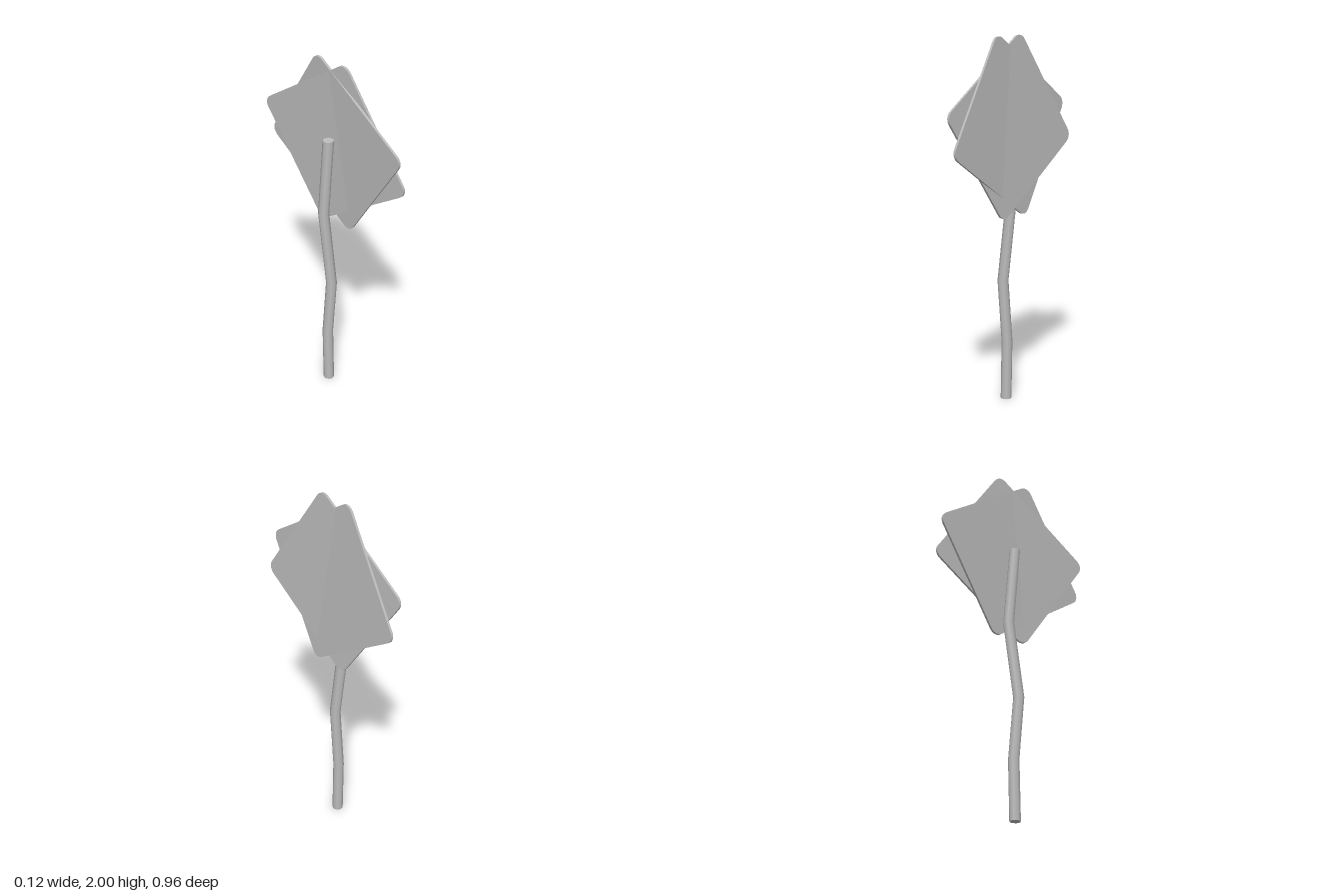
import * as THREE from 'three';

const grey = new THREE.MeshStandardMaterial({ color: 0xbcbcbc });
grey.name = 'weathered grey';

// Bent pole: rings of an eight-sided cylinder shifted along a crooked line
function makePole() {
  const ringY = [0, 0.33, 0.68, 1.1, 1.56];
  const ringZ = [0, -0.008, 0.024, -0.04, 0];
  const geo = new THREE.CylinderGeometry(0.03, 0.03, 4, 8, 4);
  const pos = geo.attributes.position;
  for (let i = 0; i < pos.count; i++) {
    const ring = Math.round(pos.getY(i) + 2);
    pos.setY(i, ringY[ring]);
    pos.setZ(i, pos.getZ(i) + ringZ[ring]);
  }
  const pole = new THREE.Mesh(geo, grey);
  pole.name = 'bentPole';
  pole.position.x = -0.035;
  return pole;
}

// Thin square plate with rounded corners, facing +x before it is tilted
function makePlate(name, turn, x, slopeY, slopeZ) {
  const half = 0.36, r = 0.05, c = half - r, depth = 0.013;
  const shape = new THREE.Shape();
  for (let k = 0; k < 4; k++) {
    const a = k * Math.PI / 2;
    const sx = k === 0 || k === 3 ? c : -c;
    const sy = k < 2 ? c : -c;
    shape.absarc(sx, sy, r, a, a + Math.PI / 2, false);
  }
  const geo = new THREE.ExtrudeGeometry(shape, { depth, bevelEnabled: false, curveSegments: 6 });
  geo.translate(0, 0, -depth / 2);
  geo.rotateZ(turn);
  geo.rotateY(Math.PI / 2);
  const plate = new THREE.Mesh(geo, grey);
  plate.name = name;
  const normal = new THREE.Vector3(1, -slopeY, -slopeZ).normalize();
  plate.quaternion.setFromUnitVectors(new THREE.Vector3(1, 0, 0), normal);
  plate.position.set(x, 1.52, 0);
  return plate;
}

export function createModel() {
  const model = new THREE.Group();
  model.name = 'bentSignpost';
  // Two diamond-set plates that cross each other at a shallow angle
  const turn = THREE.MathUtils.degToRad(45 + 11.2);
  model.add(
    makePole(),
    makePlate('steepSignPlate', turn, 0.001, -0.0405, 0.101),
    makePlate('shallowSignPlate', -turn, 0.0045, -0.0505, 0.026)
  );
  return model;
}
